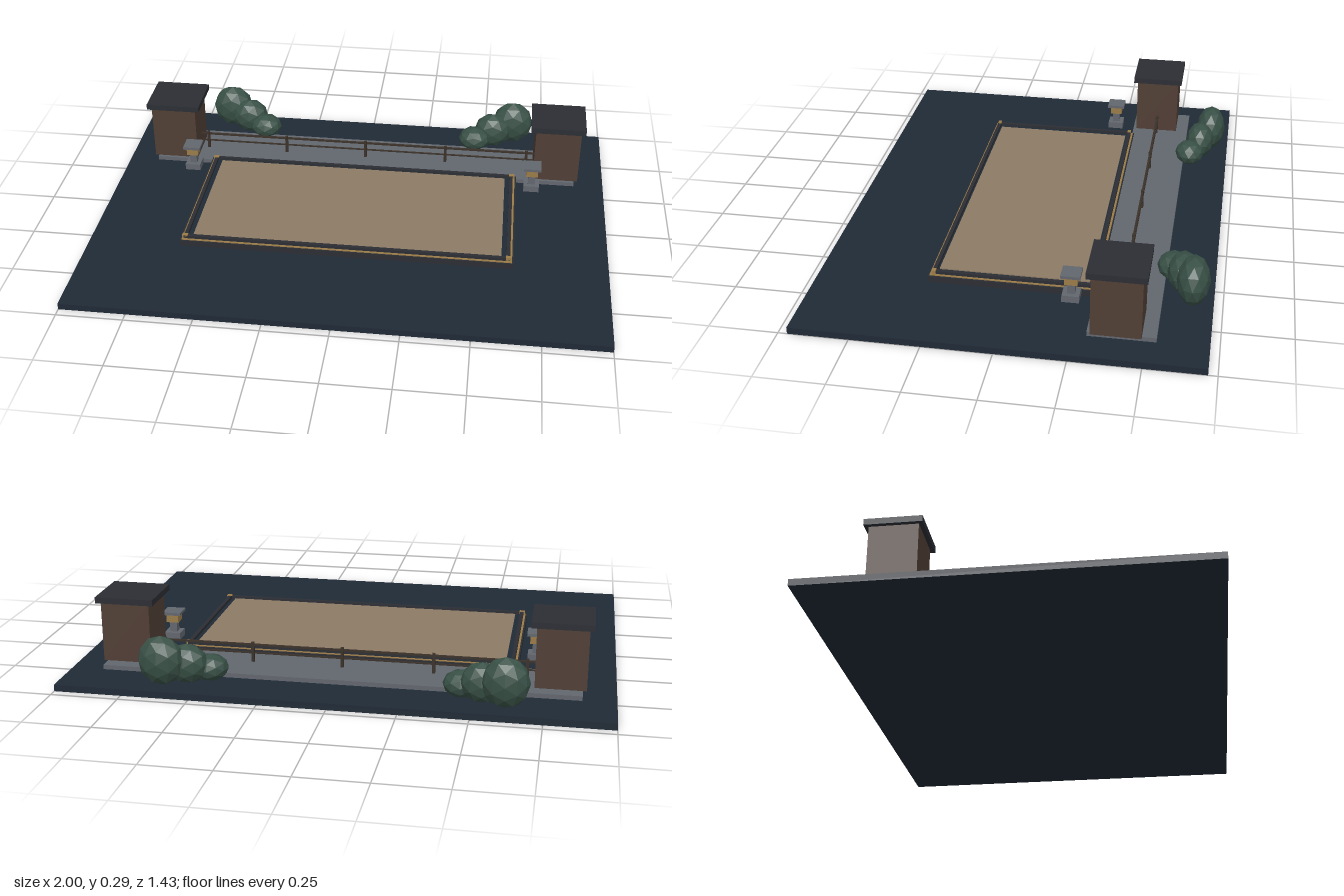
import * as THREE from 'three';

const mat = (color, flatShading = false) => new THREE.MeshStandardMaterial({ color, flatShading });

export function createModel() {
  const group = new THREE.Group();
  const navy = mat(0x202a36), stone = mat(0x62676e), brick = mat(0x503e35), slate = mat(0x2b2e34);
  const sand = mat(0x8c7a64), gold = mat(0x9a7b48), bronze = mat(0x3a3129), leaf = mat(0x385046, true);

  // Box given by centre x/z, size x/z and bottom/top heights
  function box(name, material, x, z, w, d, y0, y1, parent = group) {
    const m = new THREE.Mesh(new THREE.BoxGeometry(w, y1 - y0, d), material);
    m.name = name;
    m.position.set(x, (y0 + y1) / 2, z);
    parent.add(m);
    return m;
  }

  // Rectangular border made of four bars, outer half sizes hx and hz
  function border(name, material, hx, hz, t, y0, y1) {
    const g = new THREE.Group();
    g.name = name;
    for (const s of [-1, 1]) {
      box(name + 'Long', material, 0, s * (hz - t / 2), 2 * hx, t, y0, y1, g);
      box(name + 'Short', material, s * (hx - t / 2), 0, t, 2 * (hz - t), y0, y1, g);
    }
    group.add(g);
  }

  // Ground slab and rear terrace
  box('ground', navy, 0, 0, 2, 1.435, 0, 0.025);
  box('terrace', stone, 0, -0.419, 1.76, 0.238, 0.025, 0.042);

  // Raised court with stepped edge
  box('courtBase', slate, 0, 0, 1.284, 0.616, 0.025, 0.05);
  border('goldTrim', gold, 0.636, 0.304, 0.008, 0.05, 0.053);
  border('courtRim', slate, 0.628, 0.296, 0.014, 0.05, 0.065);
  box('courtInset', navy, 0, 0, 1.23, 0.566, 0.05, 0.054);
  box('courtFloor', sand, 0, 0, 1.19, 0.55, 0.05, 0.058);
  for (const sx of [-1, 1])
    for (const sz of [-1, 1]) box('cornerStud', gold, sx * 0.623, sz * 0.289, 0.022, 0.014, 0.05, 0.068);

  // Railing between the towers
  const railing = new THREE.Group();
  railing.name = 'railing';
  for (let i = -2; i <= 2; i++) box('railPost', bronze, i * 0.34, -0.404, 0.011, 0.011, 0.042, 0.118, railing);
  box('topRail', bronze, 0, -0.404, 1.42, 0.008, 0.105, 0.112, railing);
  box('middleRail', bronze, 0, -0.404, 1.42, 0.006, 0.074, 0.079, railing);
  group.add(railing);

  // Mirrored towers, lanterns and shrubs
  const shrubs = [ // x, y, z, radius x, radius y, radius z
    [0.617, 0.117, -0.642, 0.086, 0.093, 0.06],
    [0.533, 0.096, -0.602, 0.078, 0.075, 0.058],
    [0.457, 0.072, -0.563, 0.067, 0.05, 0.06],
  ];
  for (const s of [-1, 1]) {
    const tower = new THREE.Group();
    tower.name = s > 0 ? 'leftTower' : 'rightTower';
    box('towerBody', brick, s * 0.802, -0.4, 0.184, 0.176, 0.042, 0.27, tower);
    box('towerCap', slate, s * 0.8, -0.4, 0.22, 0.206, 0.27, 0.293, tower);

    const lantern = new THREE.Group();
    lantern.name = s > 0 ? 'leftLantern' : 'rightLantern';
    box('lanternBase', stone, s * 0.703, -0.223, 0.062, 0.062, 0.054, 0.08, lantern);
    box('lanternPost', stone, s * 0.703, -0.223, 0.028, 0.028, 0.08, 0.12, lantern);
    box('lanternLight', gold, s * 0.703, -0.223, 0.047, 0.047, 0.12, 0.152, lantern);
    box('lanternCap', stone, s * 0.703, -0.223, 0.07, 0.07, 0.152, 0.163, lantern);

    const bushes = new THREE.Group();
    bushes.name = s > 0 ? 'leftShrubs' : 'rightShrubs';
    for (const [x, y, z, rx, ry, rz] of shrubs) {
      const m = new THREE.Mesh(new THREE.IcosahedronGeometry(1, 1), leaf);
      m.name = 'shrub';
      m.scale.set(rx, ry, rz);
      m.position.set(s * x, y, z);
      bushes.add(m);
    }
    group.add(tower, lantern, bushes);
  }
  return group;
}
